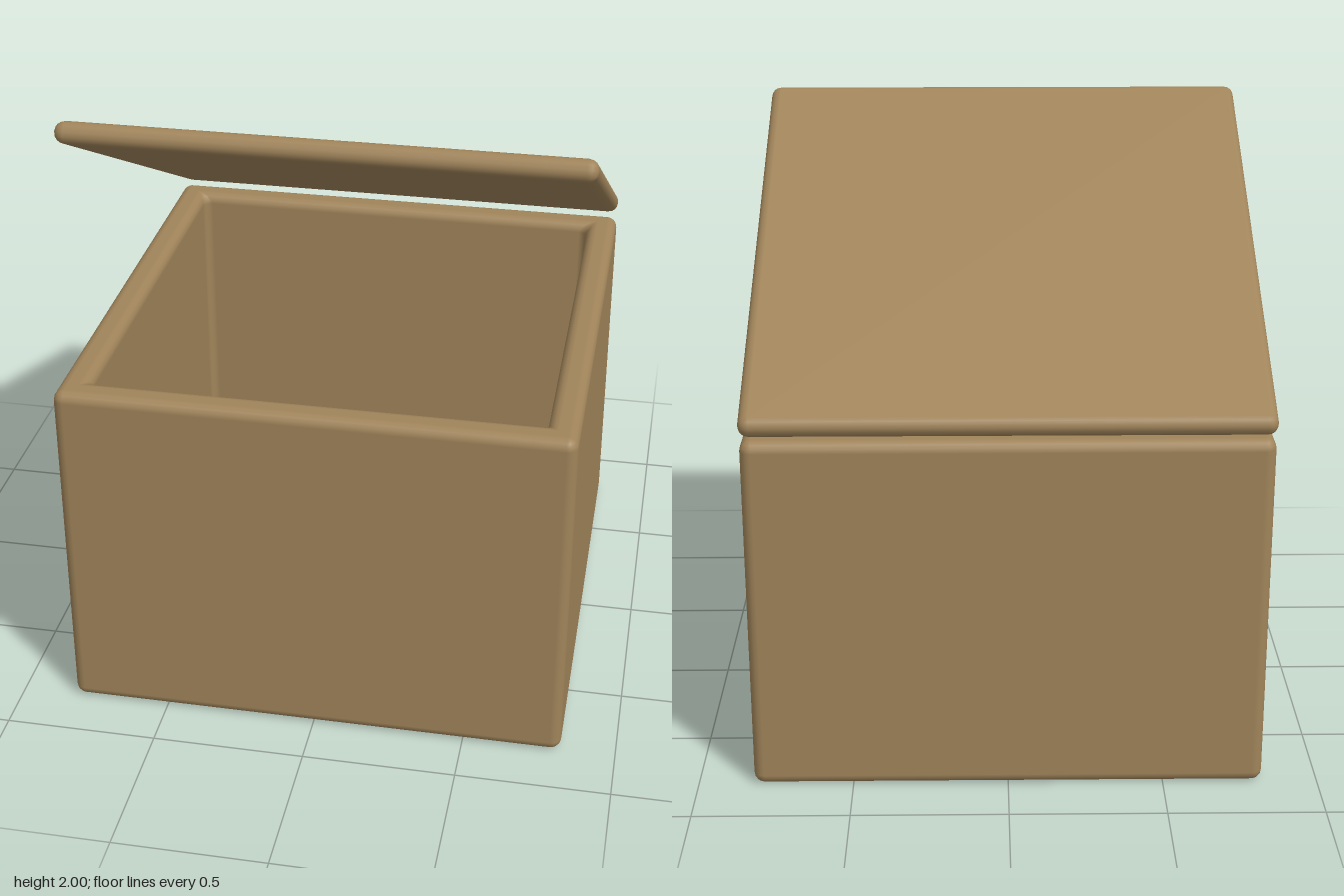
import * as THREE from 'three';
import { RoundedBoxGeometry } from 'three/addons/geometries/RoundedBoxGeometry.js';

const STEPS = 4; // segments per rounded corner

// Arc of profile points [halfWidth, y, normalOut, normalUp, cornerRadius]
function arc(cx, cy, rad, from, to, cornerRadius, inward = 1) {
  const points = [];
  for (let i = 0; i <= STEPS; i++) {
    const a = THREE.MathUtils.degToRad(from + ((to - from) * i) / STEPS);
    const c = Math.cos(a), s = Math.sin(a);
    const h = cx + rad * c;
    points.push([h, cy + rad * s, c * inward, s * inward, cornerRadius(h)]);
  }
  return points;
}

// Sweeps the profile around a square with rounded corners
function squareLoft(profile) {
  const pos = [], norm = [], index = [];
  const ring = 4 * (STEPS + 1) + 1;
  for (const [h, y, nOut, nUp, r] of profile) {
    for (let k = 0; k < ring; k++) {
      const corner = Math.floor(k / (STEPS + 1)) % 4;
      const a = (corner + (k % (STEPS + 1)) / STEPS) * Math.PI / 2;
      const mid = (corner + 0.5) * Math.PI / 2;
      const sx = Math.sign(Math.cos(mid)), sz = Math.sign(Math.sin(mid));
      pos.push(sx * (h - r) + r * Math.cos(a), y, sz * (h - r) + r * Math.sin(a));
      norm.push(nOut * Math.cos(a), nUp, nOut * Math.sin(a));
    }
  }
  for (let i = 0; i < profile.length - 1; i++) {
    for (let k = 0; k < ring - 1; k++) {
      const a = i * ring + k, b = a + ring;
      index.push(a, b, a + 1, b, b + 1, a + 1);
    }
  }
  const g = new THREE.BufferGeometry();
  g.setAttribute('position', new THREE.Float32BufferAttribute(pos, 3));
  g.setAttribute('normal', new THREE.Float32BufferAttribute(norm, 3));
  g.setIndex(index);
  return g;
}

export function createModel() {
  const group = new THREE.Group();
  const material = new THREE.MeshStandardMaterial({ color: 0xa0845a });

  // Hollow body: underside, outer walls, rounded rim, inner walls, floor
  const half = 0.822, edge = 0.035, top = 1.18, floor = 0.1;
  const outer = (h) => Math.max(0.001, h - (half - edge));
  const inner = () => 0.03;
  const profile = [
    [0, 0, 0, -1, 0],
    ...arc(half - edge, edge, edge, -90, 0, outer),
    ...arc(half - edge, top - edge, edge, 0, 90, outer),
    ...arc(0.755, top - edge, edge, 90, 180, (h) => 0.03 * (0.755 - h) / edge),
    ...arc(0.7, floor + 0.02, 0.02, 0, -90, inner, -1),
    [0, floor, 0, 1, 0],
  ];
  const body = new THREE.Mesh(squareLoft(profile), material);
  body.name = 'body';
  body.position.z = 0.008;
  group.add(body);

  // Lid tilted open towards the back
  const lid = new THREE.Mesh(new RoundedBoxGeometry(1.644, 0.07, 1.65, 2, 0.034), material);
  lid.name = 'lid';
  lid.position.set(0, 1.6, -0.1);
  lid.rotation.x = THREE.MathUtils.degToRad(-27.5);
  group.add(lid);

  return group;
}
